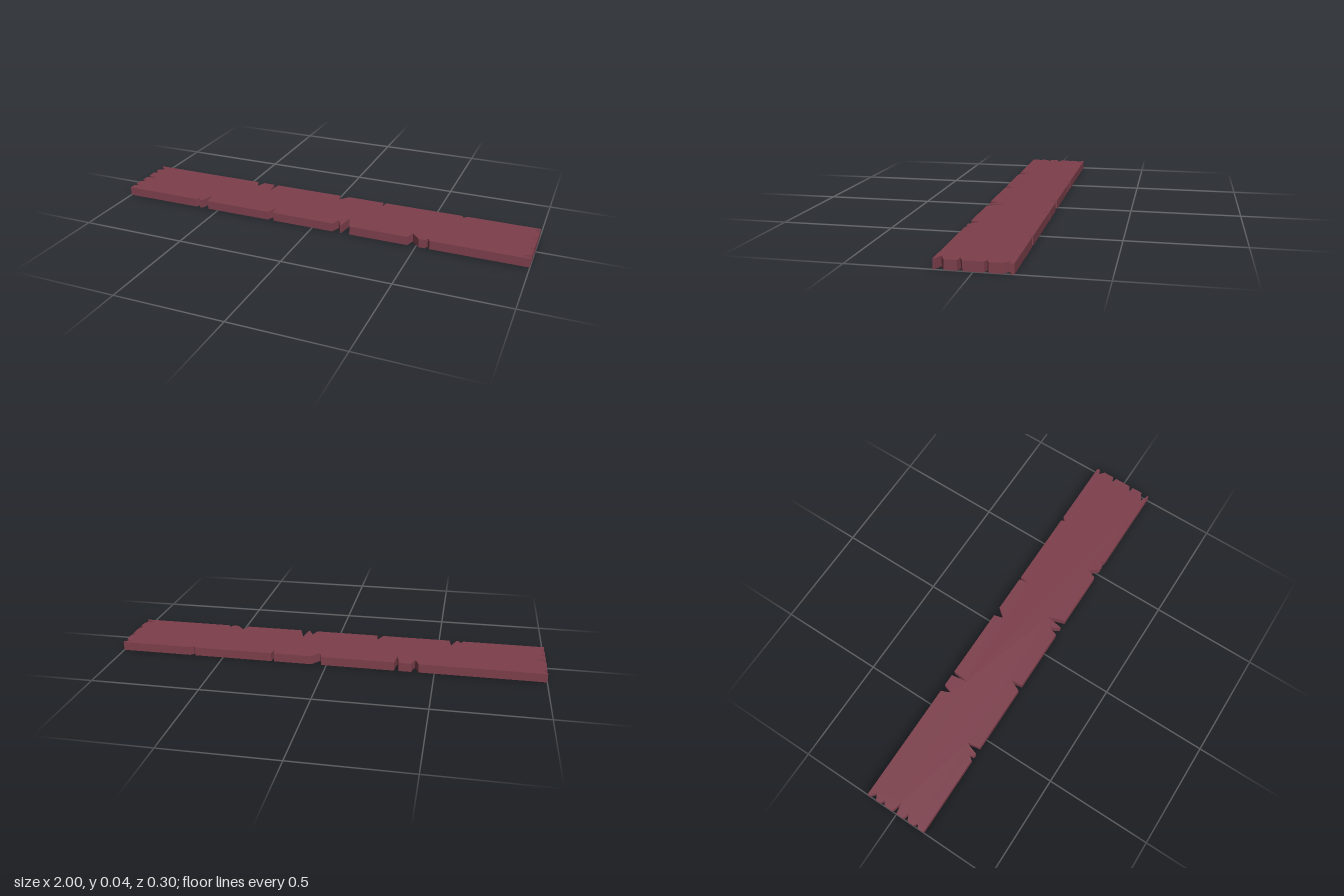
import * as THREE from 'three';

const HALF_LENGTH = 1, HALF_WIDTH = 0.152, THICKNESS = 0.041;

// Each notch: [start along edge, tip along edge, end along edge, tip position across]
const frontNotches = [
  [-0.62, -0.607, -0.6, 0.13], [-0.585, -0.564, -0.553, 0.09], [-0.23, -0.206, -0.2, 0.1],
  [0.102, 0.117, 0.14, 0.108], [0.145, 0.158, 0.185, 0.073], [0.46, 0.475, 0.512, 0.11],
  [0.54, 0.549, 0.562, 0.132],
];
const backNotches = [
  [-0.428, -0.409, -0.395, -0.105], [-0.337, -0.325, -0.316, -0.075], [0.024, 0.036, 0.072, -0.108],
  [0.25, 0.257, 0.263, -0.107], [0.638, 0.647, 0.662, -0.135],
];
const leftNotches = [
  [-0.137, -0.13, -0.11, 0.975], [-0.057, -0.047, -0.04, 0.972],
  [0.04, 0.054, 0.06, 0.97], [0.11, 0.13, 0.147, 0.958],
];
const rightNotches = [
  [-0.142, -0.12, -0.105, -0.972], [-0.085, -0.07, -0.06, -0.978], [-0.018, -0.003, 0.006, -0.945],
  [0.042, 0.052, 0.066, -0.968], [0.098, 0.11, 0.122, -0.98],
];

// Outline points of one notched edge, in increasing order along the edge
function edge(notches, level, alongX) {
  return notches.flatMap(([start, tip, end, depth]) =>
    [[start, level], [tip, depth], [end, level]].map(([a, b]) =>
      alongX ? new THREE.Vector2(a, b) : new THREE.Vector2(b, a)));
}

export function createModel() {
  const group = new THREE.Group();
  group.name = 'woodenPlank';
  const L = HALF_LENGTH, W = HALF_WIDTH;

  // Plan outline: back edge, left end, front edge, right end
  const outline = [
    new THREE.Vector2(-L, -W), ...edge(backNotches, -W, true),
    new THREE.Vector2(L, -W), ...edge(leftNotches, L, false),
    new THREE.Vector2(L, W), ...edge(frontNotches, W, true).reverse(),
    new THREE.Vector2(-L, W), ...edge(rightNotches, -L, false).reverse(),
  ];

  // Flat board with splintered edges
  const geometry = new THREE.ExtrudeGeometry(new THREE.Shape(outline), {
    depth: THICKNESS, bevelEnabled: false,
  });
  geometry.rotateX(Math.PI / 2).translate(0, THICKNESS, 0);

  const board = new THREE.Mesh(geometry,
    new THREE.MeshStandardMaterial({ color: 0x7d3f4c }));
  board.name = 'board';
  group.add(board);
  return group;
}
